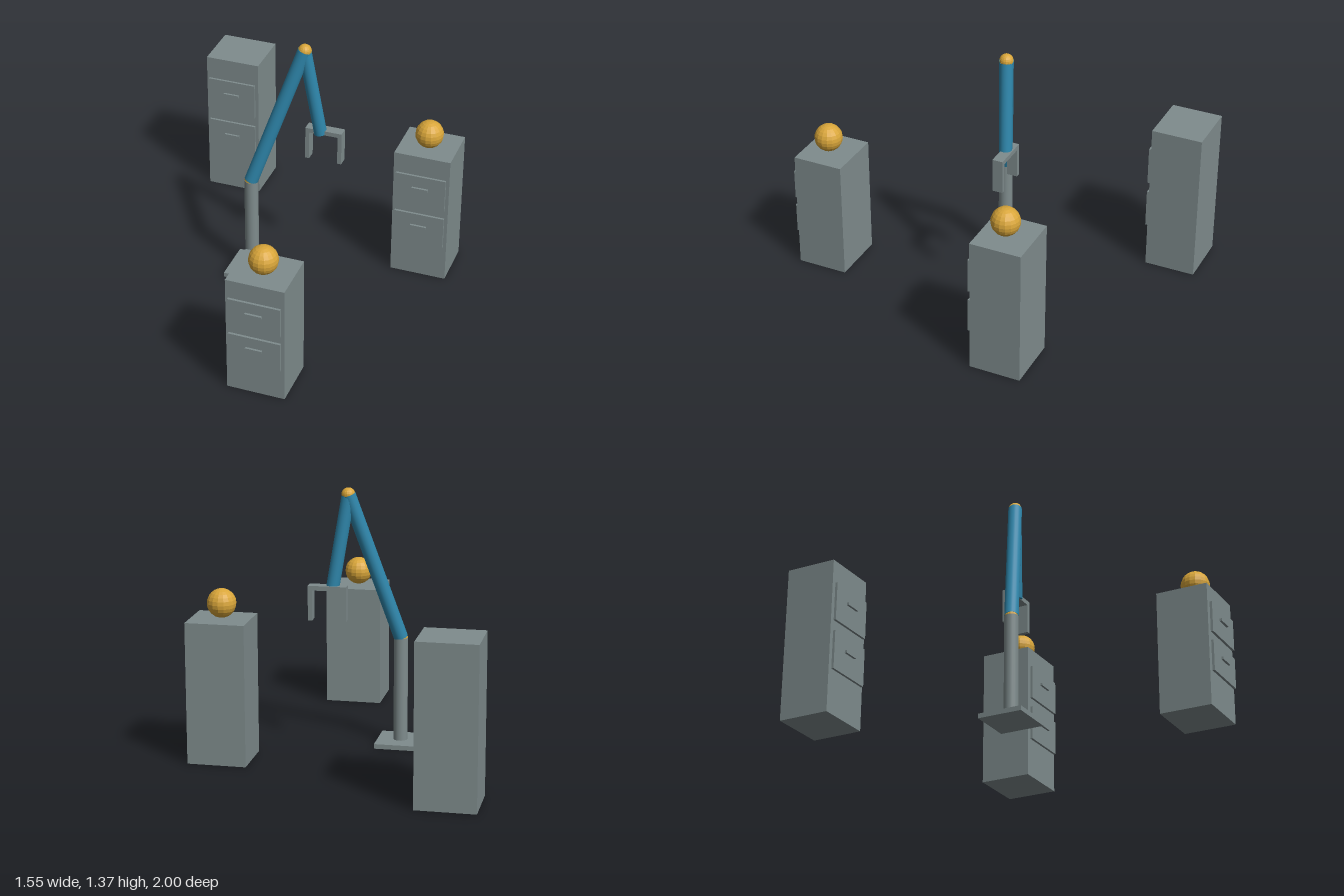
import * as THREE from 'three';

const material = (name, color) => {
  const m = new THREE.MeshStandardMaterial({ color });
  m.name = name;
  return m;
};

export function createModel() {
  const grey = material('grey metal', 0x7f8c8d);
  const blue = material('blue arm', 0x2e86ab);
  const gold = material('gold', 0xd9a63a);
  const faceted = gold;
  const model = new THREE.Group();
  model.name = 'robotArmWithCabinets';

  const add = (parent, name, geometry, mat, x, y, z) => {
    const mesh = new THREE.Mesh(geometry, mat);
    mesh.name = name;
    mesh.position.set(x, y, z);
    parent.add(mesh);
    return mesh;
  };
  const box = (parent, name, w, h, d, x, y, z) =>
    add(parent, name, new THREE.BoxGeometry(w, h, d), grey, x, y, z);

  // Faceted ball: separate face normals
  const ball = (parent, name, r, x, y, z) => {
    const g = new THREE.SphereGeometry(r, 16, 12).toNonIndexed();
    g.computeVertexNormals();
    return add(parent, name, g, faceted, x, y, z);
  };

  // Cylinder between two points
  const rod = (parent, name, a, b, r, mat) => {
    const dir = b.clone().sub(a);
    const mid = a.clone().add(b).multiplyScalar(0.5);
    const mesh = add(parent, name, new THREE.CylinderGeometry(r, r, dir.length(), 20), mat, mid.x, mid.y, mid.z);
    mesh.quaternion.setFromUnitVectors(new THREE.Vector3(0, 1, 0), dir.normalize());
    return mesh;
  };

  // Two-drawer cabinets, two of them carrying a ball
  const cabinet = (name, x, z, h, hasBall) => {
    const group = new THREE.Group();
    group.name = name;
    group.position.set(x, 0, z);
    const front = 0.137;
    box(group, 'cabinetBody', 0.305, h, front * 2, 0, h / 2, 0);
    for (const level of [0.405, 0.725]) {
      const dh = h * 0.25;
      box(group, 'drawerFront', 0.272, dh, 0.013, 0, h * level, front + 0.0115);
      box(group, 'drawerHandle', 0.087, 0.014, 0.012, 0, h * level + dh * 0.1, front + 0.024);
    }
    if (hasBall) ball(group, 'ball', 0.075, 0, h + 0.075, 0.014);
    model.add(group);
  };
  cabinet('tallCabinet', -0.622, -0.863, 0.825, false);
  cabinet('shortCabinet', 0.168, 0.833, 0.651, true);
  cabinet('mediumCabinet', 0.62, -0.41, 0.737, true);

  // Arm: base, column, two links and ball joints
  const arm = new THREE.Group();
  arm.name = 'robotArm';
  model.add(arm);
  const foot = new THREE.Vector3(-0.228, 0.02, 0);
  const shoulder = new THREE.Vector3(-0.228, 0.575, 0);
  const elbow = new THREE.Vector3(0.025, 1.338, -0.118);
  const wrist = new THREE.Vector3(0.102, 0.848, -0.152);
  box(arm, 'basePlate', 0.238, 0.025, 0.238, foot.x, 0.0125, 0);
  rod(arm, 'column', foot, shoulder, 0.037, grey);
  rod(arm, 'upperArm', shoulder, elbow, 0.037, blue);
  rod(arm, 'forearm', elbow, wrist, 0.034, blue);
  ball(arm, 'shoulderJoint', 0.036, shoulder.x, shoulder.y, shoulder.z);
  ball(arm, 'elbowJoint', 0.036, elbow.x, elbow.y, elbow.z);

  // Gripper: crossbar with two fingers
  const gripper = new THREE.Group();
  gripper.name = 'gripper';
  gripper.position.set(0.123, 0, -0.163);
  arm.add(gripper);
  box(gripper, 'gripperBar', 0.199, 0.024, 0.056, 0, 0.86, 0);
  for (const side of [-1, 1]) box(gripper, 'gripperFinger', 0.022, 0.158, 0.056, side * 0.0885, 0.769, 0);

  return model;
}
